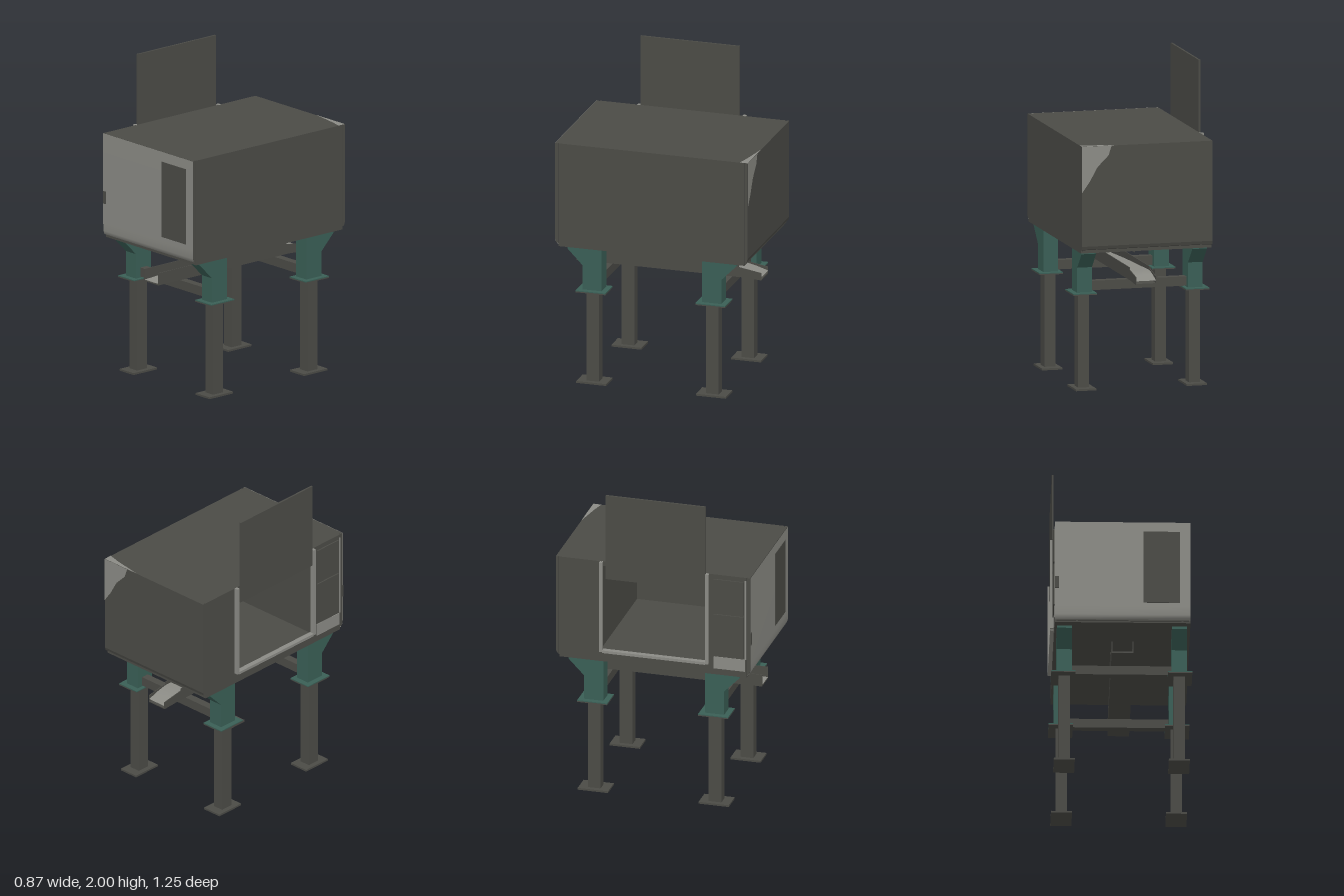
import * as THREE from 'three';

const mat = (name, color, side = THREE.FrontSide) => {
  const m = new THREE.MeshStandardMaterial({ color, side });
  m.name = name;
  return m;
};

export function createModel() {
  const root = new THREE.Group();
  root.name = 'feedingStation';
  const dark = mat('dark steel', 0x4b4b46, THREE.DoubleSide);
  const light = mat('light steel', 0x8b8b85, THREE.DoubleSide);
  const teal = mat('teal paint', 0x3a5f56);

  const add = (parent, name, geo, material) => {
    const mesh = new THREE.Mesh(geo, material);
    mesh.name = name;
    parent.add(mesh);
    return mesh;
  };
  // box given by its limits on each axis
  const box = (parent, name, m, x0, x1, y0, y1, z0, z1) => {
    const g = new THREE.BoxGeometry(x1 - x0, y1 - y0, z1 - z0);
    g.translate((x0 + x1) / 2, (y0 + y1) / 2, (z0 + z1) / 2);
    return add(parent, name, g, m);
  };
  // profile of [z, y] points extruded along x from x0 to x1
  const sideExtrude = (parent, name, m, pts, x0, x1) => {
    const shape = new THREE.Shape(pts.map(p => new THREE.Vector2(...p)));
    const g = new THREE.ExtrudeGeometry(shape, { depth: x1 - x0, bevelEnabled: false });
    g.rotateY(-Math.PI / 2).translate(x1, 0, 0);
    return add(parent, name, g, m);
  };
  // sheet following [a, b] points, mapped to a position by a rule
  const sheet = (parent, name, m, pts, place) => {
    const g = new THREE.PlaneGeometry(1, 1, 1, pts.length - 1);
    const pos = g.attributes.position;
    for (let i = 0; i < pos.count; i++) pos.setXYZ(i, ...place(pts[i >> 1], i % 2));
    g.computeVertexNormals();
    return add(parent, name, g, m);
  };

  // hollow cabinet, open on its right side
  const cabinet = new THREE.Group();
  cabinet.name = 'cabinet';
  root.add(cabinet);
  const L = -0.415, R = 0.42;
  box(cabinet, 'roof', dark, L, R, 1.54, 1.55, -0.6, 0.6);
  box(cabinet, 'bottom', dark, L, R, 0.88, 0.89, -0.6, 0.6);
  box(cabinet, 'leftWall', dark, R - 0.01, R, 0.89, 1.54, -0.6, 0.6);
  box(cabinet, 'rightWallBack', dark, L, L + 0.01, 0.89, 1.54, -0.6, -0.33);
  box(cabinet, 'rightWallFront', dark, L, L + 0.01, 0.89, 1.54, 0.35, 0.6);
  box(cabinet, 'rightWallSill', dark, L, L + 0.01, 0.89, 0.95, -0.33, 0.35);
  box(cabinet, 'rightWallHeader', dark, L, L + 0.01, 1.52, 1.54, -0.33, 0.35);
  box(cabinet, 'chamberFloor', dark, L + 0.01, R - 0.01, 0.94, 0.95, -0.34, 0.36);
  for (const z of [-0.345, 0.355])
    box(cabinet, 'partition', dark, L + 0.01, R - 0.01, 0.89, 1.54, z - 0.005, z + 0.005);

  // end panels with a narrow seam to the cabinet
  for (const s of [-1, 1]) {
    const z = s * 0.603, e = s * 0.59;
    box(cabinet, 'endWall', dark, L + 0.01, R - 0.01, 0.89, 1.54, Math.min(z, e), Math.max(z, e));
    const profile = [[0.605, 0.9], [0.615, 0.905], [0.622, 0.925], [0.622, 1.55], [0.605, 1.55]];
    sideExtrude(cabinet, s > 0 ? 'frontPanel' : 'backPanel', dark, profile.map(([a, b]) => [s * a, b]), L, R);
    box(cabinet, 'seamFiller', dark, L + 0.01, R - 0.01, 0.89, 1.55, s > 0 ? 0.598 : -0.607, s > 0 ? 0.607 : -0.598);
  }
  // front skin rolled under at the bottom
  sheet(cabinet, 'frontSkin', light,
    [[1.55, 0.625], [0.98, 0.625], [0.925, 0.623], [0.905, 0.616], [0.895, 0.603]],
    ([y, z], right) => [right ? R : L, y, z]);
  box(cabinet, 'frontWindow', dark, 0.13, 0.355, 1.005, 1.487, 0.622, 0.628);
  box(cabinet, 'frontLatch', dark, -0.415, -0.39, 1.1, 1.18, 0.622, 0.628);

  // pale corner patch on the back panel and its top edge
  const patch = new THREE.Shape([[-0.42, 1.55], [-0.23, 1.55], [-0.25, 1.49], [-0.32, 1.42], [-0.37, 1.33], [-0.42, 1.26]]
    .map(p => new THREE.Vector2(...p)));
  add(cabinet, 'backPatch', new THREE.ShapeGeometry(patch).rotateY(Math.PI).translate(0, 0, -0.6235), light);
  const edge = new THREE.Shape([[0.15, 0.622], [0.42, 0.622], [0.42, 0.57], [0.34, 0.59]]
    .map(p => new THREE.Vector2(...p)));
  add(cabinet, 'topPatch', new THREE.ShapeGeometry(edge).rotateX(-Math.PI / 2).translate(0, 1.551, 0), light);

  // raised door and its guide rails
  box(root, 'door', dark, -0.428, -0.416, 1.44, 2, -0.3, 0.34);
  for (const z of [-0.34, 0.34])
    box(root, 'doorRail', light, -0.438, -0.41, 0.95, 1.55, z, z + 0.02);
  box(root, 'doorSill', light, -0.438, -0.405, 0.945, 0.962, -0.32, 0.34);

  // control panels beside the door
  box(root, 'controlPanelUpper', dark, -0.424, L, 1.3, 1.52, 0.39, 0.58);
  box(root, 'controlPanelLower', dark, -0.424, L, 1.01, 1.285, 0.39, 0.58);
  box(root, 'controlPanelFoot', light, -0.418, L, 0.92, 1.0, 0.39, 0.59);
  box(root, 'controlPanelTrim', light, -0.418, L, 1.0, 1.53, 0.588, 0.598);

  // four legs: flared bracket, flange, post and foot
  for (const sx of [-1, 1]) for (const sz of [-1, 1]) {
    const leg = new THREE.Group();
    leg.name = (sz > 0 ? 'front' : 'back') + (sx > 0 ? 'Left' : 'Right') + 'Leg';
    root.add(leg);
    const x = sx * 0.354, z = sz > 0 ? 0.39 : -0.384;
    const bracket = [[-0.062, 0.605], [0.062, 0.605], [0.062, 0.765], [0.16, 0.865], [0.16, 0.88], [-0.062, 0.88]];
    const pts = bracket.map(([a, b]) => [z + sz * a, b]);
    sideExtrude(leg, 'bracket', teal, pts, x - 0.047, x + 0.047);
    const fx = x + sx * 0.005;
    box(leg, 'flangeTop', teal, fx - 0.075, fx + 0.075, 0.602, 0.608, z - 0.096, z + 0.096);
    box(leg, 'flangeBottom', dark, fx - 0.075, fx + 0.075, 0.596, 0.602, z - 0.096, z + 0.096);
    box(leg, 'post', dark, x - 0.035, x + 0.035, 0.01, 0.597, z - 0.041, z + 0.041);
    box(leg, 'foot', dark, x - 0.065, x + 0.065, 0, 0.012, z - 0.097, z + 0.097);
  }
  for (const z of [-0.384, 0.39])
    box(root, 'crossBeam', dark, -0.31, 0.31, 0.614, 0.672, z - 0.025, z + 0.025);

  // open chute running front to back below the cabinet
  const chute = new THREE.Group();
  chute.name = 'chute';
  root.add(chute);
  for (const x of [-0.065, 0.064])
    box(chute, 'chuteSide', dark, x, x + 0.005, 0.675, 0.752, -0.45, 0.598);
  box(chute, 'chuteBase', dark, -0.065, 0.069, 0.674, 0.68, -0.45, 0.598);
  sheet(chute, 'chuteFloor', light,
    [[-0.6, 0.69], [-0.52, 0.715], [-0.45, 0.73], [0.1, 0.71], [0.598, 0.684]],
    ([z, y], right) => [right ? 0.064 : -0.06, y, z]);
  const tail = [[-0.598, 0.667], [-0.45, 0.675], [-0.45, 0.738], [-0.598, 0.714]];
  for (const x of [-0.065, 0.064]) sideExtrude(chute, 'tailSide', dark, tail, x, x + 0.005);
  sideExtrude(chute, 'tailBase', dark, [[-0.598, 0.667], [-0.45, 0.674], [-0.45, 0.68], [-0.598, 0.673]], -0.062, 0.066);

  // curved outlet flaps under the cabinet
  box(root, 'outletPlate', dark, -0.062, 0.067, 0.862, 0.882, -0.165, 0.17);
  for (const s of [-1, 1])
    sheet(root, 'outletFlap', dark,
      [[0.066, 0.88], [0.063, 0.855], [0.057, 0.825], [0.046, 0.792]],
      ([x, y], right) => [s * x + 0.002, y, right ? 0.17 : -0.165]);

  return root;
}
